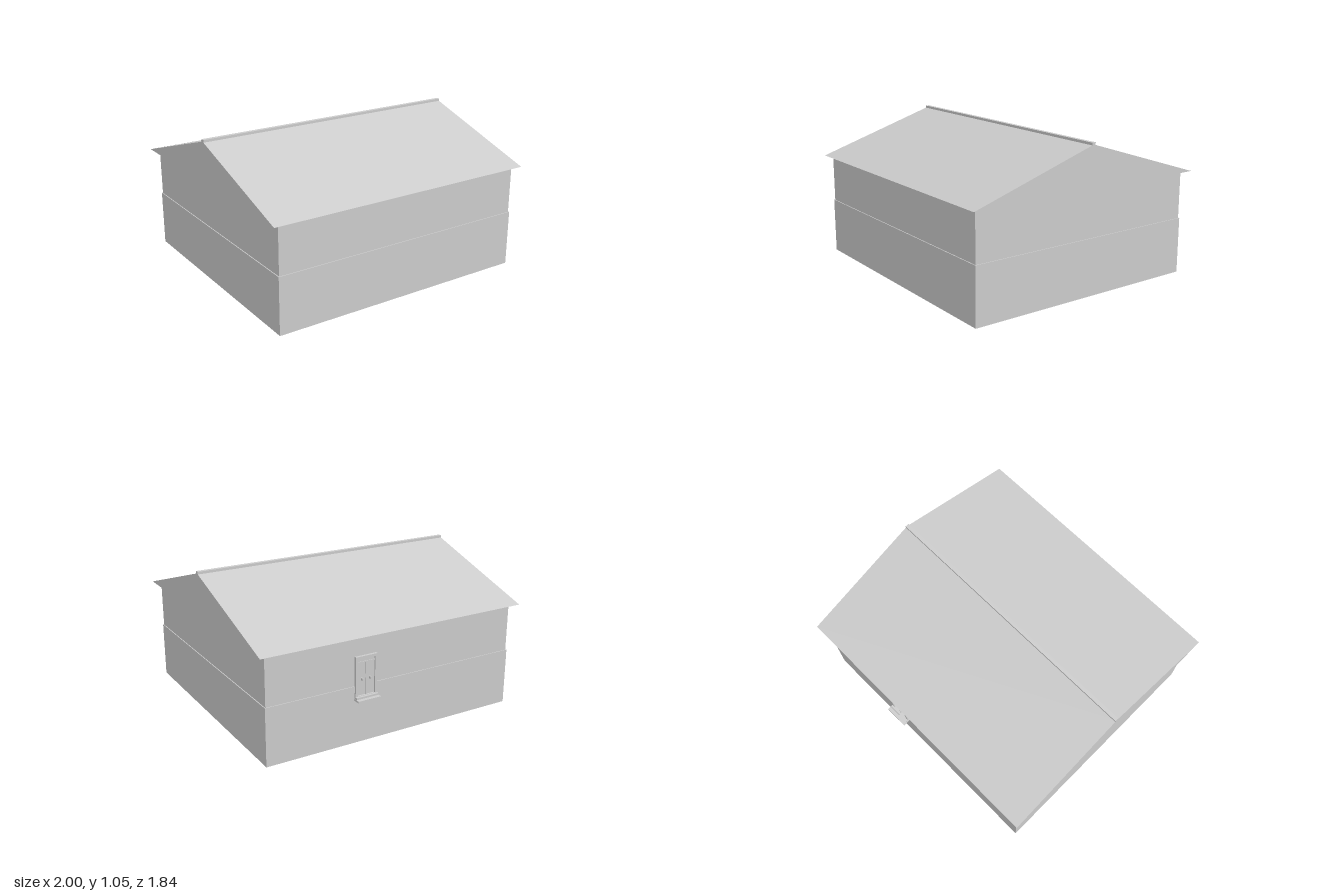
import * as THREE from 'three';

export function createModel() {
  const house = new THREE.Group();
  house.name = 'house';
  const plaster = new THREE.MeshStandardMaterial({ color: 0xcccccc });
  plaster.name = 'plain grey';

  // box given by its minimum and maximum on each axis
  function box(name, [x0, x1], [y0, y1], [z0, z1], parent = house) {
    const mesh = new THREE.Mesh(new THREE.BoxGeometry(x1 - x0, y1 - y0, z1 - z0), plaster);
    mesh.position.set((x0 + x1) / 2, (y0 + y1) / 2, (z0 + z1) / 2);
    mesh.name = name;
    parent.add(mesh);
    return mesh;
  }

  // walls: the lower storey stands slightly proud of the upper one
  box('lowerWalls', [-0.955, 0.955], [0, 0.4], [-0.867, 0.88]);
  box('upperWalls', [-0.949, 0.949], [0.4, 0.75], [-0.861, 0.874]);

  // roof: closed gable prism with thin drooping eaves
  const profile = new THREE.Shape([
    [0.918, 0.742], [0.005, 1.033], [-0.912, 0.742], [-0.895, 0.748], [0.9, 0.748],
  ].map(([z, y]) => new THREE.Vector2(-z, y)));
  const roofGeometry = new THREE.ExtrudeGeometry(profile, { depth: 2, bevelEnabled: false });
  roofGeometry.translate(0, 0, -1).rotateY(Math.PI / 2);
  const roof = new THREE.Mesh(roofGeometry, plaster);
  roof.name = 'roof';
  house.add(roof);

  // ridge cap
  box('ridgeCap', [-1, 1], [1.015, 1.046], [-0.009, 0.019]);

  // window on the back wall
  const win = new THREE.Group();
  win.name = 'window';
  house.add(win);
  box('windowPane', [0.16, 0.31], [0.325, 0.595], [-0.869, -0.86], win);
  for (const x of [0.154, 0.3]) {
    box('windowJamb', [x, x + 0.016], [0.315, 0.602], [-0.879, -0.86], win);
  }
  box('windowHead', [0.17, 0.3], [0.586, 0.602], [-0.879, -0.86], win);
  box('windowBottomRail', [0.17, 0.3], [0.315, 0.332], [-0.879, -0.86], win);
  box('windowTransom', [0.17, 0.3], [0.556, 0.564], [-0.874, -0.868], win);
  box('windowMullion', [0.231, 0.239], [0.332, 0.556], [-0.874, -0.868], win);
  for (const x of [0.2, 0.262]) {
    box('windowHandle', [x, x + 0.01], [0.436, 0.452], [-0.886, -0.868], win);
  }

  // stepped window sill
  box('sillStep', [0.152, 0.318], [0.315, 0.329], [-0.895, -0.86], win);
  box('sill', [0.149, 0.321], [0.304, 0.316], [-0.922, -0.86], win);

  return house;
}
